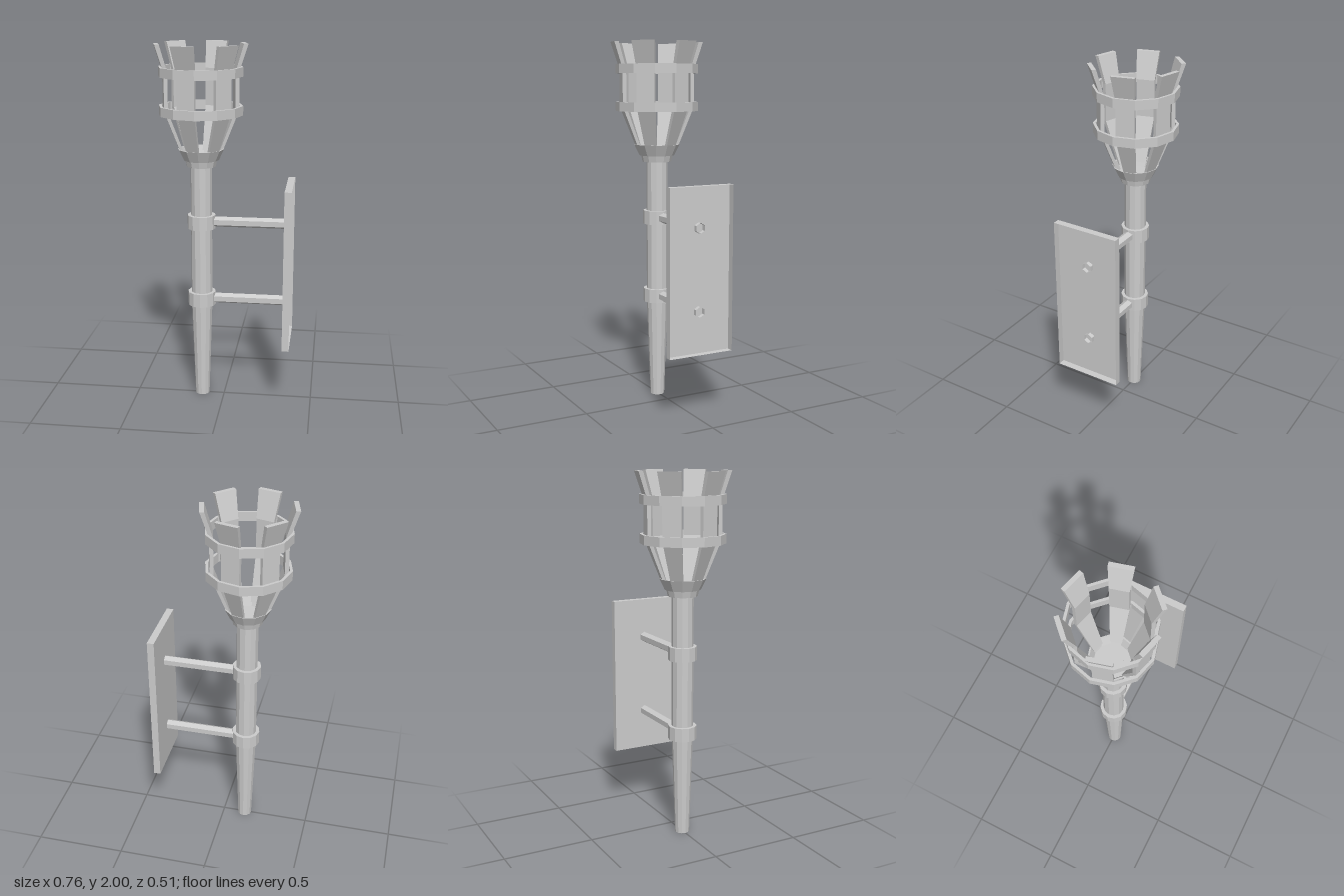
import * as THREE from 'three';

const SIDES = 12;

export function createModel() {
  const model = new THREE.Group();
  model.name = 'wallTorch';
  const grey = new THREE.MeshStandardMaterial({ color: 0xcccccc, flatShading: true });
  const thin = new THREE.MeshStandardMaterial({ color: 0xcccccc, flatShading: true, side: THREE.DoubleSide });

  const add = (name, geometry, parent, material = grey) => {
    const mesh = new THREE.Mesh(geometry, material);
    mesh.name = name;
    parent.add(mesh);
    return mesh;
  };
  // Faceted turned part from [radius, y] points, listed up the outside
  const turned = (points) =>
    new THREE.LatheGeometry(points.map(([r, y]) => new THREE.Vector2(r, y)), SIDES);

  const torch = new THREE.Group();
  torch.name = 'torch';
  torch.position.x = -0.126;
  model.add(torch);

  // Tapered handle
  add('handle', turned([[0, 0], [0.04, 0], [0.059, 0.56], [0.059, 1.392], [0, 1.392]]), torch);

  // Hollow cup at the head of the handle
  add('cup', turned([
    [0.055, 1.345], [0.08, 1.345], [0.088, 1.38], [0.097, 1.38], [0.126, 1.44],
    [0.117, 1.44], [0.096, 1.39], [0, 1.39],
  ]), torch);

  // Basket hoops
  for (const y of [1.625, 1.83]) {
    add('hoop', turned([
      [0.213, y], [0.228, y], [0.228, y + 0.05], [0.213, y + 0.05], [0.213, y],
    ]), torch);
  }

  // Bent basket slats
  const slat = slatGeometry();
  for (let i = 0; i < 6; i++) {
    add('slat', slat, torch).rotation.y = Math.PI / 12 + (i * Math.PI) / 3;
  }

  // Collars and the hexagonal rods that reach through the wall plate
  for (const y of [0.588, 1.034]) {
    const h = 0.038;
    add('collar', turned([
      [0.055, y - h], [0.078, y - h], [0.078, y + h], [0.055, y + h],
    ]), torch);
    const rod = add('rod', new THREE.CylinderGeometry(0.029, 0.029, 0.43, 6, 1, true, Math.PI / 2), model, thin);
    rod.rotation.z = Math.PI / 2;
    rod.position.set(0.147, y, 0);
  }

  // Wall plate, a shallow tray open on the wall side
  const tray = new THREE.BoxGeometry(0.038, 0.895, 0.376);
  tray.setIndex(Array.from(tray.index.array).slice(6));
  tray.clearGroups();
  add('wallPlate', tray, model, thin).position.set(0.359, 0.8075, 0);

  return model;
}

// Slat running outward along +x: rectangular sections joined in a loop
function slatGeometry() {
  // inner x, outer x, y, half width
  const sections = [
    [0.092, 0.108, 1.415, 0.031],
    [0.18, 0.2, 1.65, 0.05],
    [0.18, 0.2, 1.855, 0.05],
    [0.222, 0.246, 2.0, 0.062],
  ];
  const positions = [];
  for (const [a, b, y, w] of sections) positions.push(a, y, w, b, y, w, b, y, -w, a, y, -w);
  const index = [0, 2, 1, 0, 3, 2];
  for (let s = 0; s < sections.length - 1; s++) {
    for (let k = 0; k < 4; k++) {
      const a = s * 4 + k;
      const b = s * 4 + ((k + 1) % 4);
      index.push(a, b, b + 4, a, b + 4, a + 4);
    }
  }
  const t = (sections.length - 1) * 4;
  index.push(t, t + 1, t + 2, t, t + 2, t + 3);
  const geometry = new THREE.BufferGeometry();
  geometry.setAttribute('position', new THREE.Float32BufferAttribute(positions, 3));
  geometry.setIndex(index);
  const flat = geometry.toNonIndexed();
  flat.computeVertexNormals();
  return flat;
}
